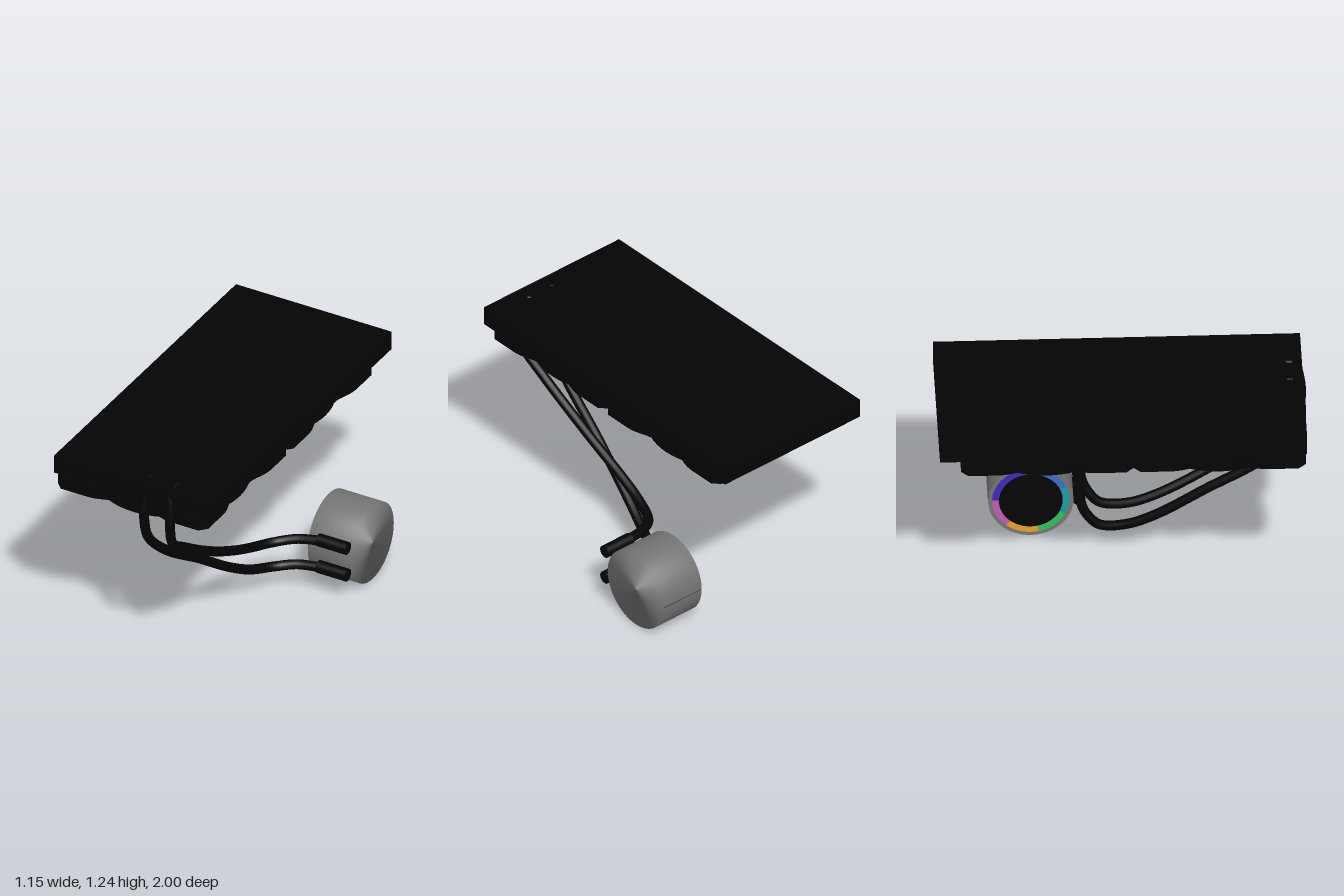
import * as THREE from 'three';

const mat = (name, color) => {
  const m = new THREE.MeshStandardMaterial({ color });
  m.name = name;
  return m;
};

export function createModel() {
  const model = new THREE.Group();
  model.name = 'liquidCooler';

  const black = mat('black', 0x040404);
  const darkGrey = mat('dark grey', 0x444444);
  const metal = mat('brushed metal', 0x747474);
  const lightGrey = mat('light grey', 0xb4b4b4);
  const blue = mat('blue', 0x3c6cc8);
  const teal = mat('teal', 0x229a9e);
  const green = mat('green', 0x30c05c);
  const orange = mat('orange', 0xe6a030);
  const pink = mat('pink', 0xc05cb0);
  const purple = mat('purple', 0x4229b4);
  const rainbow = [blue, teal, green, orange, pink, purple, purple];

  const add = (parent, name, geometry, material, x = 0, y = 0, z = 0) => {
    const mesh = new THREE.Mesh(geometry, material);
    mesh.name = name;
    mesh.position.set(x, y, z);
    parent.add(mesh);
    return mesh;
  };

  // Flat ring cut into equal coloured wedges, facing +z
  const lightRing = (name, inner, outer, startDeg, colours) => {
    const ring = new THREE.Group();
    ring.name = name;
    const step = (Math.PI * 2) / colours.length;
    colours.forEach((colour, i) => {
      const start = THREE.MathUtils.degToRad(startDeg) + i * step;
      add(ring, 'lightWedge', new THREE.RingGeometry(inner, outer, 12, 1, start, step), colour);
    });
    return ring;
  };

  // Plate with a round opening, lying flat from y = 0 up to the given height
  const plateWithHole = (shape, holeRadius, height) => {
    const hole = new THREE.Path();
    hole.absarc(0, 0, holeRadius, 0, Math.PI * 2, true);
    shape.holes.push(hole);
    const g = new THREE.ExtrudeGeometry(shape, { depth: height, bevelEnabled: false, curveSegments: 32 });
    return g.rotateX(-Math.PI / 2);
  };

  // Square with cut corners whose sides curve in to meet the duct
  const flangeShape = () => {
    const h = 0.465, c = 0.425, side = 0.27, waist = 0.421;
    const s = new THREE.Shape();
    s.moveTo(h, -c);
    for (let i = 0; i < 4; i++) {
      const cos = Math.round(Math.cos((i * Math.PI) / 2));
      const sin = Math.round(Math.sin((i * Math.PI) / 2));
      const p = (x, y) => [x * cos - y * sin, x * sin + y * cos];
      s.lineTo(...p(h, -side));
      s.bezierCurveTo(...p(h, -0.17), ...p(waist, -0.17), ...p(waist, 0));
      s.bezierCurveTo(...p(waist, 0.17), ...p(h, 0.17), ...p(h, side));
      s.lineTo(...p(h, c));
      s.lineTo(...p(c, h));
    }
    return s;
  };

  // Radiator
  add(model, 'radiator', new THREE.BoxGeometry(0.965, 0.11, 1.98), black, -0.0905, 1.175, -0.01);

  // Two fans hanging under the radiator
  for (const z of [0.51, -0.42]) {
    const fan = new THREE.Group();
    fan.name = 'fan';
    fan.position.set(-0.11, 0, z);
    model.add(fan);

    add(fan, 'fanFlange', plateWithHole(flangeShape(), 0.38, 0.07), black, 0, 1.027, 0);
    const circle = new THREE.Shape().absarc(0, 0, 0.42, 0, Math.PI * 2);
    add(fan, 'fanDuct', plateWithHole(circle, 0.375, 0.135), black, 0, 0.987, 0);

    const faceDown = (g) => g.rotateX(Math.PI / 2);
    add(fan, 'fanTrimRing', faceDown(new THREE.RingGeometry(0.364, 0.378, 64)), darkGrey, 0, 0.985, 0);
    add(fan, 'fanInnerRing', faceDown(new THREE.RingGeometry(0.1, 0.24, 48)), lightGrey, 0, 1.005, 0);
    const wedges = lightRing('fanLights', 0.24, 0.376, 299.7, rainbow);
    wedges.rotation.x = Math.PI / 2;
    wedges.position.y = 1.005;
    fan.add(wedges);

    add(fan, 'fanHub', new THREE.CylinderGeometry(0.115, 0.115, 0.07, 40), [black, black, darkGrey], 0, 1.004, 0);

    // Small screw heads on the right edge
    for (const dz of [-0.375, 0.375]) {
      const screw = new THREE.CylinderGeometry(0.013, 0.013, 0.02, 12).rotateZ(Math.PI / 2);
      add(fan, 'screw', screw, black, -0.456, 1.062, dz);
    }
  }

  // Pump: metal drum lying along x
  const pump = new THREE.Group();
  pump.name = 'pump';
  pump.position.set(0, 0.23, -0.475);
  model.add(pump);
  const profile = [[0.2, 0.302], [0.23, 0.302], [0.23, 0.573], [0, 0.573]].map((p) => new THREE.Vector2(...p));
  const drum = new THREE.LatheGeometry(profile, 64);
  // The end cap keeps its rim normals to the centre, for a spun-metal sheen
  const n = drum.attributes.normal;
  for (let i = 3; i < n.count; i += 4) n.setXYZ(i, n.getX(i - 1), n.getY(i - 1), n.getZ(i - 1));
  add(pump, 'pumpBody', drum.rotateZ(-Math.PI / 2), metal);
  add(pump, 'pumpSeam', new THREE.BoxGeometry(0.268, 0.005, 0.004), darkGrey, 0.437, 0, -0.229);

  // Pump face with rim, light ring and dark lens
  const faceSide = (g) => g.rotateY(-Math.PI / 2);
  add(pump, 'pumpRim', faceSide(new THREE.RingGeometry(0.205, 0.23, 64)), metal, 0.3, 0, 0);
  const pumpLights = lightRing('pumpLights', 0.17, 0.209, 76, [purple, purple, pink, orange, green, teal, blue]);
  pumpLights.rotation.y = -Math.PI / 2;
  pumpLights.position.x = 0.299;
  pump.add(pumpLights);
  add(pump, 'pumpLens', faceSide(new THREE.CircleGeometry(0.172, 64)), black, 0.298, 0, 0);

  // Hoses from the radiator to the pump
  const hoses = [
    [[-0.022, 1.208, 0.9], [-0.022, 1.203, 0.935], [-0.022, 1.1, 0.962], [-0.021, 0.98, 0.968], [-0.016, 0.87, 0.94],
      [-0.005, 0.68, 0.755], [0.03, 0.475, 0.46], [0.07, 0.285, 0.195], [0.11, 0.195, 0.035],
      [0.17, 0.153, -0.11], [0.27, 0.16, -0.18], [0.4, 0.165, -0.21]],
    [[0.14, 1.21, 0.9], [0.14, 1.203, 0.94], [0.14, 1.1, 0.97], [0.142, 0.98, 0.974], [0.142, 0.88, 0.95],
      [0.133, 0.76, 0.79], [0.107, 0.545, 0.46], [0.095, 0.4, 0.195], [0.11, 0.335, 0.035],
      [0.165, 0.306, -0.11], [0.27, 0.322, -0.18], [0.4, 0.335, -0.21]],
  ];
  for (const points of hoses) {
    const curve = new THREE.CatmullRomCurve3(points.map((p) => new THREE.Vector3(...p)));
    add(model, 'hose', new THREE.TubeGeometry(curve, 90, 0.027, 14), black);
    add(model, 'hoseTopCap', new THREE.SphereGeometry(0.027, 14, 10), black, ...points[0]);
    // Thick end sleeve beside the pump
    const sleeve = new THREE.CylinderGeometry(0.036, 0.036, 0.182, 24).rotateZ(Math.PI / 2);
    add(model, 'hoseSleeve', sleeve, black, 0.477, points[11][1], -0.213);
  }

  return model;
}
